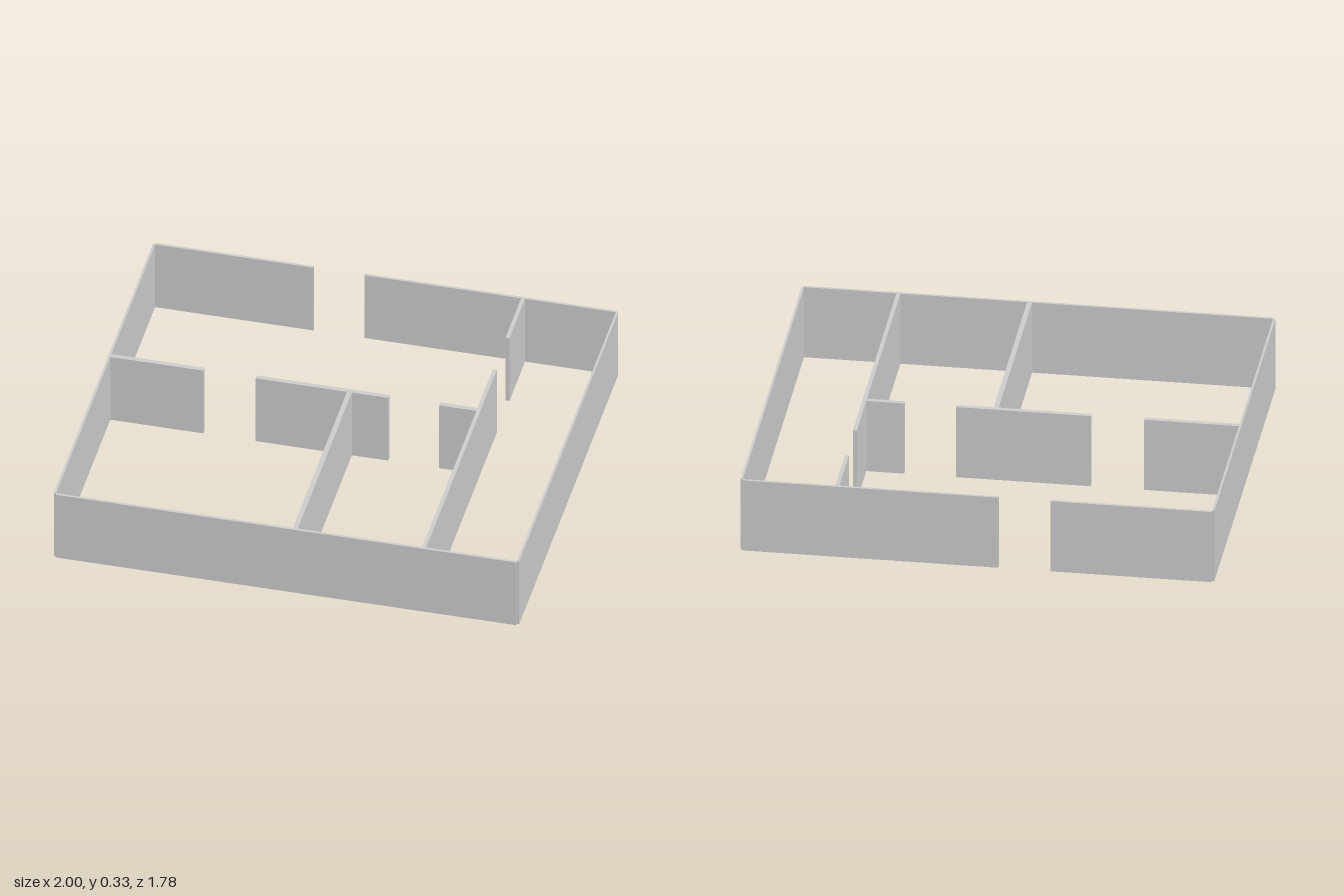
import * as THREE from 'three';

const HEIGHT = 0.33;

export function createModel() {
  const model = new THREE.Group();
  model.name = 'floorPlanWalls';
  const material = new THREE.MeshStandardMaterial({ color: 0xcccccc, flatShading: true });

  // One upright wall given by its footprint
  const wall = (name, x0, x1, z0, z1) => {
    const mesh = new THREE.Mesh(new THREE.BoxGeometry(x1 - x0, HEIGHT, z1 - z0), material);
    mesh.name = name;
    mesh.position.set((x0 + x1) / 2, HEIGHT / 2, (z0 + z1) / 2);
    model.add(mesh);
  };

  // Outer walls, with the entrance gap at the back
  wall('leftOuterWall', 0.99, 1, -0.88, 0.88);
  wall('rightOuterWall', -1, -0.99, -0.88, 0.88);
  wall('frontOuterWall', -0.99, 0.99, 0.878, 0.89);
  wall('backOuterWallRight', -0.99, -0.31, -0.89, -0.878);
  wall('backOuterWallLeft', -0.09, 0.99, -0.89, -0.878);

  // Long partition running front to back, split by a doorway
  wall('longPartitionBack', 0.583, 0.6, -0.88, -0.6);
  wall('longPartitionFront', 0.583, 0.6, -0.377, 0.88);

  // Cross partition with two doorways
  wall('crossPartitionRight', -0.993, -0.59, -0.104, -0.083);
  wall('crossPartitionMiddle', -0.365, 0.204, -0.104, -0.083);
  wall('crossPartitionLeft', 0.423, 0.585, -0.104, -0.083);

  // Partition between the two front rooms
  wall('roomDivider', 0.027, 0.048, -0.083, 0.88);

  return model;
}
